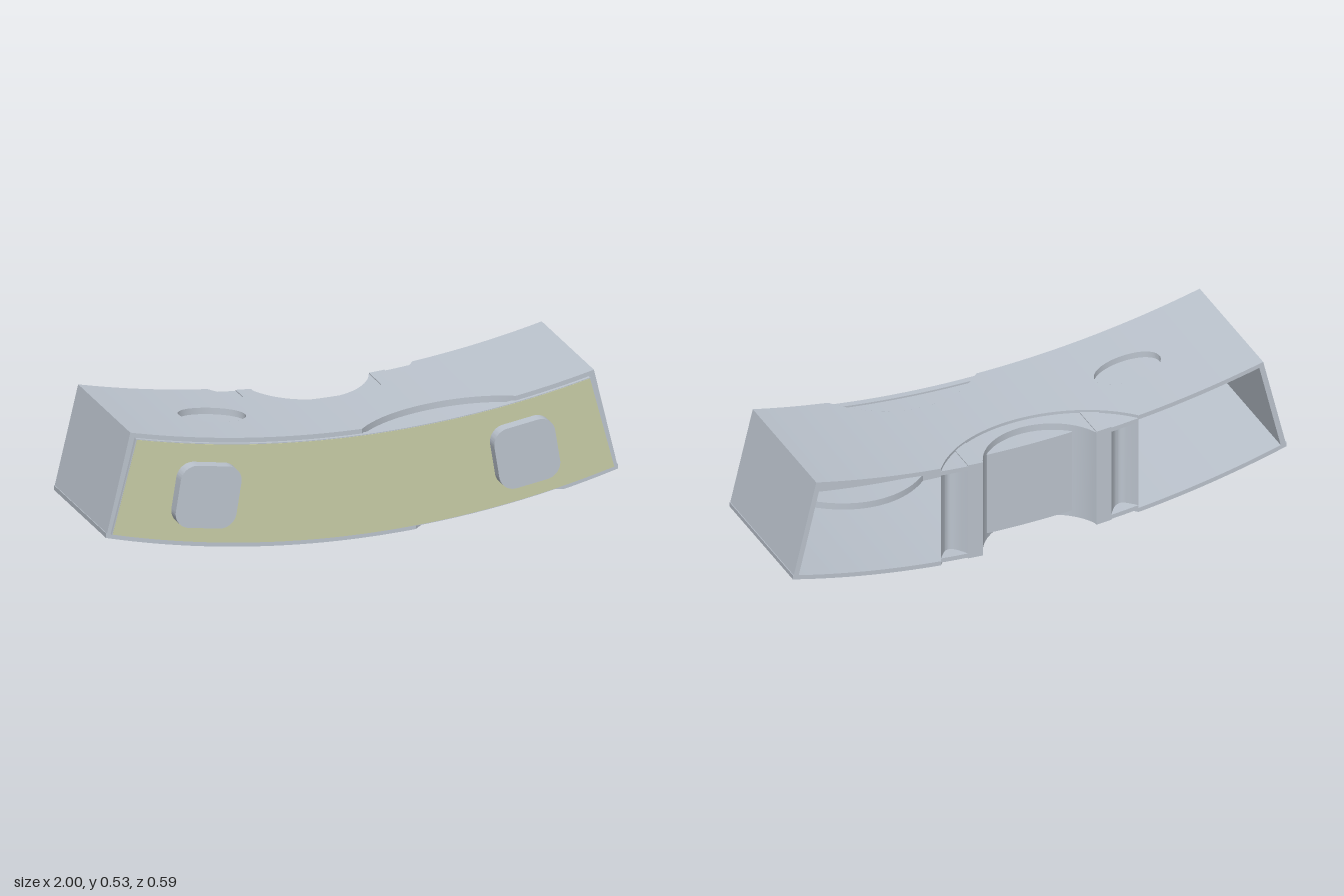
import * as THREE from 'three';
import { toCreasedNormals } from 'three/addons/utils/BufferGeometryUtils.js';

const BACK = -0.295, FRONT = 0.237, SKIN = 0.018;
// curved underside and top of the segment
const bot = x => 3.77 - Math.sqrt(3.77 ** 2 - x * x);
const top = x => 4.275 - Math.sqrt(3.85 ** 2 - x * x);
// wide rear cut-out in the shell and the smaller round bay inside it
const outer = x => Math.max(BACK, -0.595 + Math.sqrt(Math.max(0, 0.25 - x * x)));
const inner = x => Math.max(BACK, -0.38 + Math.sqrt(Math.max(0, 0.06 - x * x)));

// Solid swept along x; each cross-section is a rectangle lo..hi, back..front.
// skip lists sides left open: 0 below, 1 front, 2 above, 3 back
function slab(x0, x1, lo, hi, back, front, skip = []) {
  const n = 24, rows = [], pos = [];
  for (let i = 0; i <= n; i++) {
    const x = x0 + (x1 - x0) * (1 - Math.cos(Math.PI * i / n)) / 2;
    const l = lo(x), h = hi(x), b = back(x), f = front(x);
    rows.push([[x, l, b], [x, l, f], [x, h, f], [x, h, b]]);
  }
  const quad = (a, b, c, d) => pos.push(...a, ...b, ...c, ...a, ...c, ...d);
  for (let i = 0; i < n; i++) {
    for (let k = 0; k < 4; k++) {
      if (skip.includes(k)) continue;
      const j = (k + 1) % 4;
      quad(rows[i][k], rows[i + 1][k], rows[i + 1][j], rows[i][j]);
    }
  }
  quad(...rows[0]);
  quad(...[...rows[n]].reverse());
  const g = new THREE.BufferGeometry();
  g.setAttribute('position', new THREE.Float32BufferAttribute(pos, 3));
  return toCreasedNormals(g, 0.5);
}

function extrude(shape, depth, z) {
  return new THREE.ExtrudeGeometry(shape, { depth, bevelEnabled: false, curveSegments: 10 }).translate(0, 0, z);
}

// Face outline of the segment, shrunk by an inset
function outline(inset) {
  const pts = [], n = 32, xb = 1 - inset, xt = 0.905 - inset;
  for (let i = 0; i <= n; i++) {
    const x = -xb + 2 * xb * i / n;
    pts.push(new THREE.Vector2(x, bot(x) + inset));
  }
  for (let i = 0; i <= n; i++) {
    const x = xt - 2 * xt * i / n;
    pts.push(new THREE.Vector2(x, top(x) - inset));
  }
  return new THREE.Shape(pts);
}

export function createModel() {
  const model = new THREE.Group();
  const silver = new THREE.MeshStandardMaterial({ color: 0xbcc4ce, side: THREE.DoubleSide });
  silver.name = 'silver grey';
  const olive = new THREE.MeshStandardMaterial({ color: 0xc8cda6 });
  olive.name = 'pale olive';
  const add = (name, geo, mat = silver, parent = model) => {
    const m = new THREE.Mesh(geo, mat);
    m.name = name;
    parent.add(m);
    return m;
  };

  // Curved skin with rear cut-out, an oval dent and a front dent
  function skin(name, isTop, xEnd, hole, notch) {
    const g = new THREE.Group();
    g.name = name;
    model.add(g);
    const surf = isTop ? top : bot;
    const layer = t => isTop ? [x => surf(x) - t, surf] : [surf, x => surf(x) + t];
    const [lo, hi] = layer(SKIN);
    const half = x => hole.rz * Math.sqrt(Math.max(0, 1 - ((x - hole.x) / hole.rx) ** 2));
    const holeBack = x => hole.z - half(x), holeFront = x => hole.z + half(x);
    const r = 0.418;
    const frontEdge = x => Math.min(FRONT, notch.z + r - Math.sqrt(Math.max(0, r * r - (x - notch.x) ** 2)));
    const h0 = hole.x - hole.rx, h1 = hole.x + hole.rx;
    const breaks = [-xEnd, h0, h1, -0.4, 0.4, notch.x - 0.3, notch.x + 0.3, xEnd].sort((a, b) => a - b);
    for (let i = 0; i < breaks.length - 1; i++) {
      const a = breaks[i], b = breaks[i + 1], mid = (a + b) / 2;
      if (b - a < 1e-4) continue;
      if (mid > h0 && mid < h1) {
        add('skinPanel', slab(a, b, lo, hi, outer, holeBack), silver, g);
        add('skinPanel', slab(a, b, lo, hi, holeFront, frontEdge), silver, g);
      } else add('skinPanel', slab(a, b, lo, hi, outer, frontEdge), silver, g);
    }
    // dents: walls and floor, open to the outside
    const [dl, dh] = layer(isTop ? 0.025 : 0.045);
    const open = isTop ? 2 : 0;
    add('ovalDent', slab(h0, h1, dl, dh, holeBack, holeFront, [open]), silver, g);
    add('frontDent', slab(notch.x - 0.3, notch.x + 0.3, dl, dh, frontEdge, () => FRONT, [open, 1]), silver, g);
  }
  skin('topSkin', true, 0.905, { x: -0.49, z: -0.015, rx: 0.13, rz: 0.08 }, { x: 0.3, z: 0.11 });
  skin('bottomSkin', false, 1, { x: -0.33, z: -0.015, rx: 0.19, rz: 0.12 }, { x: 0.5, z: 0.12 });

  // Slanted end walls
  for (const s of [-1, 1]) {
    const w = new THREE.Shape([[1, bot(1)], [0.905, top(0.905)], [0.885, top(0.885)], [0.98, bot(0.98)]]
      .map(([x, y]) => new THREE.Vector2(s * x, y)));
    add('endWall', extrude(w, FRONT - BACK, BACK));
  }

  // Front plate with its olive face
  add('frontPlate', extrude(outline(0.018), 0.024, 0.226));
  add('frontFace', extrude(outline(0.021), 0.003, 0.249), olive);

  // Rounded pads, tilted along the arc
  const p = 0.12, c = 0.06, pad = new THREE.Shape();
  pad.moveTo(-p + c, -p);
  pad.absarc(p - c, -p + c, c, -Math.PI / 2, 0);
  pad.absarc(p - c, p - c, c, 0, Math.PI / 2);
  pad.absarc(-p + c, p - c, c, Math.PI / 2, Math.PI);
  pad.absarc(-p + c, -p + c, c, Math.PI, Math.PI * 1.5);
  for (const s of [-1, 1]) {
    const m = add('frontPad', toCreasedNormals(extrude(pad, 0.046, 0.251), 0.5));
    m.position.set(s * 0.622, 0.264, 0);
    m.rotation.z = s * 0.16;
  }

  // Rear bay: curved inner wall, flanges, posts and flat panel
  const bay = new THREE.Group();
  bay.name = 'rearBay';
  model.add(bay);
  const lo = t => x => bot(x) + t, hi = t => x => top(x) - t;
  add('bayWall', slab(-0.23, 0.23, lo(0.012), hi(0.012), inner, outer), silver, bay);
  add('bayPanel', slab(-0.172, 0.172, lo(0.04), hi(0.04), () => -0.21, inner), silver, bay);
  for (const s of [-1, 1]) {
    const span = (a, b) => s > 0 ? [a, b] : [-b, -a];
    add('bayPost', slab(...span(0.23, 0.29), lo(0.008), hi(0.008), () => BACK, outer), silver, bay);
    const dip = x => Math.min(outer(x), BACK + 0.05 * Math.sin(Math.PI * (Math.abs(x) - 0.29) / 0.11));
    add('baySide', slab(...span(0.29, 0.4), lo(0.03), hi(0.03), dip, outer), silver, bay);
    add('bayFlange', slab(...span(0.29, 0.4), lo(0.012), lo(0.03), () => BACK, outer), silver, bay);
    add('bayFlange', slab(...span(0.29, 0.4), hi(0.03), hi(0.012), () => BACK, outer), silver, bay);
  }
  return model;
}
